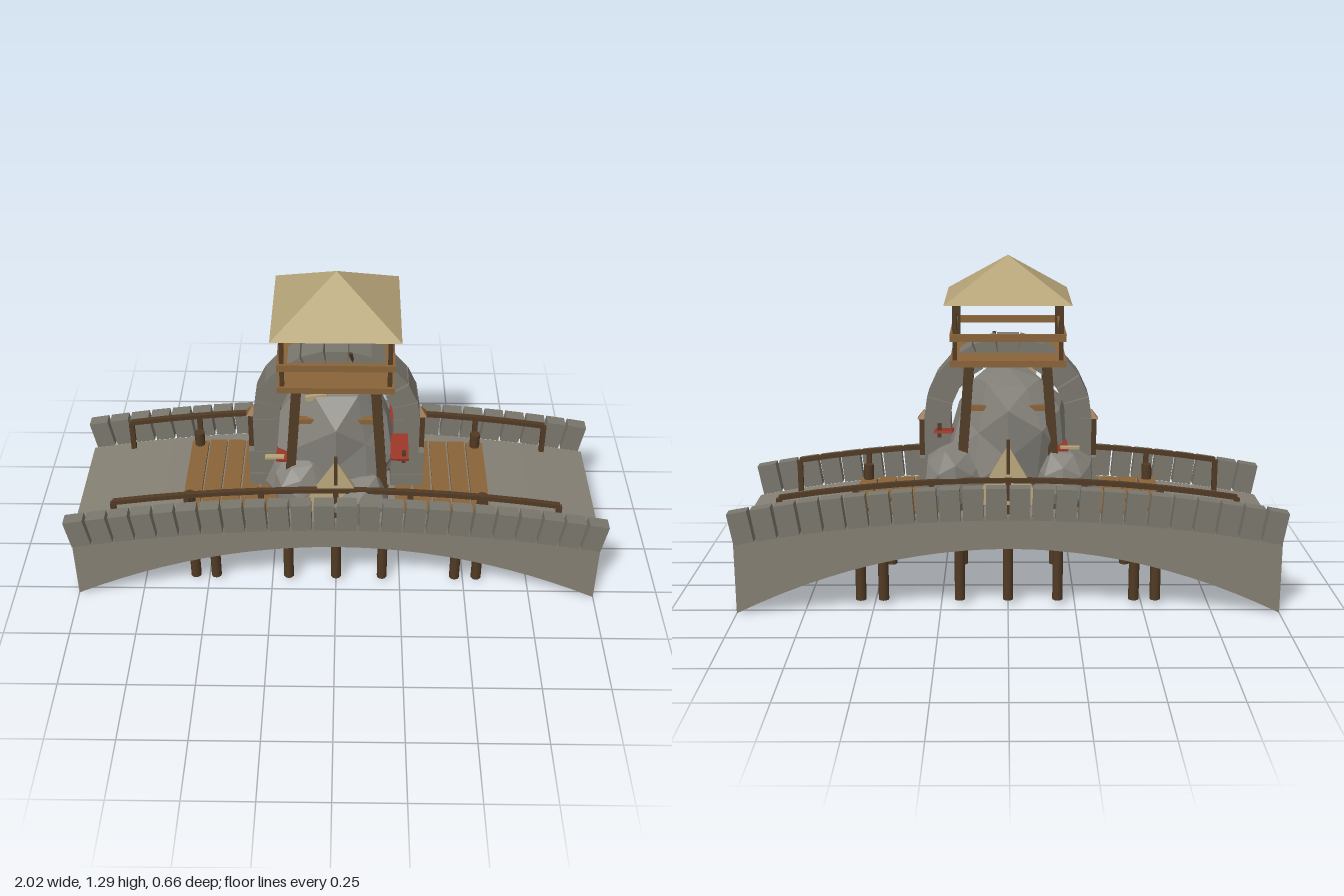
import * as THREE from 'three';

const mat = (name, color) => {
  const m = new THREE.MeshStandardMaterial({ color });
  m.name = name;
  return m;
};

export function createModel() {
  const root = new THREE.Group();
  root.name = 'bridgeWatchtower';
  const stone = mat('deckStone', 0x858074);
  const block = mat('blockStone', 0x7a776d);
  const rock = mat('boulderRock', 0x84817a);
  const wood = mat('plankWood', 0x8a6439);
  const dark = mat('darkWood', 0x513a24);
  const thatch = mat('thatch', 0xb5a377);
  const red = mat('redPaint', 0x9a3527);
  rock.flatShading = true;

  const add = (name, geo, m, x = 0, y = 0, z = 0, parent = root) => {
    const mesh = new THREE.Mesh(geo, m);
    mesh.name = name;
    mesh.position.set(x, y, z);
    parent.add(mesh);
    return mesh;
  };
  const box = (name, m, w, h, d, x, y, z) => add(name, new THREE.BoxGeometry(w, h, d), m, x, y, z);
  // Square beam running between two points
  const beam = (name, m, a, b, w, d = w) => {
    const p = new THREE.Vector3(...a), q = new THREE.Vector3(...b);
    const mid = p.clone().add(q).multiplyScalar(0.5);
    const mesh = box(name, m, w, p.distanceTo(q), d, mid.x, mid.y, mid.z);
    mesh.quaternion.setFromUnitVectors(new THREE.Vector3(0, 1, 0), q.sub(p).normalize());
    return mesh;
  };
  const pyramid = (name, m, w, h, x, y, z) => {
    const g = new THREE.ConeGeometry(w * Math.SQRT1_2, h, 4).toNonIndexed();
    g.rotateY(Math.PI / 4);
    g.computeVertexNormals();
    return add(name, g, m, x, y + h / 2, z);
  };

  // Arched deck
  const top = x => 0.28 + 0.095 * (1 - x * x);
  const under = x => 0.25 * (1 - x * x);
  const xs = Array.from({ length: 25 }, (_, i) => -1 + i / 12);
  const side = new THREE.Shape([
    ...xs.map(x => new THREE.Vector2(x, under(x))),
    ...xs.slice().reverse().map(x => new THREE.Vector2(x, top(x)))
  ]);
  add('deck', new THREE.ExtrudeGeometry(side, { depth: 0.56, bevelEnabled: false }), stone, 0, 0, -0.28);

  for (const s of [-1, 1]) {
    // Parapet blocks
    for (let i = 0; i < 24; i++) {
      const x = -0.9617 + i * 0.08362;
      const b = box('parapetBlock', block, 0.074, 0.118, 0.05, x, top(x) + 0.06, s * 0.305);
      b.rotation.z = Math.atan(-0.19 * x);
    }
    // Handrail
    const n = 12, rx = i => -0.83 + (1.66 * i) / n;
    for (let i = 0; i <= n; i++) {
      const x = rx(i), z = s * 0.247, y = top(x) + 0.127;
      if (i % 2 === 0) box('railPost', dark, 0.02, 0.13, 0.018, x, top(x) + 0.06, z);
      if (i < n) beam('handrail', dark, [x, y, z], [rx(i + 1), top(rx(i + 1)) + 0.127, z], 0.018);
    }
    // Stilts
    for (const x of [-0.55, -0.47, -0.185, 0, 0.18, 0.465, 0.55]) {
      const end = Math.abs(x) > 0.5 ? 0.435 : 0.3;
      add('stilt', new THREE.CylinderGeometry(0.02, 0.02, end - 0.02, 10), dark, x, (end + 0.02) / 2, s * 0.19);
    }
    // Walkway planks
    for (let i = 0; i < 5; i++)
      box('walkwayPlank', wood, 0.066, 0.016, i ? 0.435 : 0.42, s * (0.549 - i * 0.073), 0.368, 0);
    // Tent and its pole
    const tent = pyramid('tent', thatch, 0.25, 0.22, 0, 0.41, s * 0.235);
    tent.scale.z = 0.18;
    box('tentPole', dark, 0.012, 0.27, 0.012, 0, 0.515, s * 0.24);
  }

  // Stone arch: voussoirs and stepped legs
  const inner = 0.215, outer = 0.312, cy = 0.68, count = 11;
  for (let i = 0; i < count; i++) {
    const a = (i * Math.PI) / count + 0.01, b = ((i + 1) * Math.PI) / count - 0.01;
    const pt = (r, t) => new THREE.Vector2(r * Math.cos(t), r * Math.sin(t));
    const shape = new THREE.Shape([pt(inner, a), pt(outer, a), pt(outer, b), pt(inner, b)]);
    const d = i % 2 ? 0.124 : 0.116;
    add('archStone', new THREE.ExtrudeGeometry(shape, { depth: d, bevelEnabled: false }), block, 0, cy, -d / 2);
  }
  for (const s of [-1, 1]) {
    [0.375, 0.43, 0.48, 0.53].forEach((y, i) => {
      for (const z of i < 3 ? [-0.031, 0.031] : [0])
        box('legStone', block, i < 3 ? 0.125 : 0.098, i < 3 ? 0.052 : 0.155, i < 3 ? 0.06 : 0.12,
          s * (i < 3 ? 0.27 : 0.262), y + (i < 3 ? 0.027 : 0.075), z);
    });
    // Pointed wooden marker on each leg
    box('markerPost', dark, 0.035, 0.145, 0.05, s * 0.315, 0.6, 0);
    pyramid('markerTip', wood, 0.048, 0.035, s * 0.315, 0.672, 0);
  }

  // Boulders: faceted balls with seeded bumps
  const boulder = (x, y, z, rx, ry, rz, seed, detail = 1) => {
    const g = new THREE.IcosahedronGeometry(1, detail);
    const p = g.attributes.position, v = new THREE.Vector3();
    for (let i = 0; i < p.count; i++) {
      v.fromBufferAttribute(p, i);
      const h = Math.sin(Math.round(v.x * 50) * 1.27 + Math.round(v.y * 50) * 3.11 + Math.round(v.z * 50) * 7.47 + seed) * 437.5;
      v.multiplyScalar(0.86 + 0.24 * (h - Math.floor(h)));
      p.setXYZ(i, v.x * rx, v.y * ry, v.z * rz);
    }
    g.computeVertexNormals();
    add('boulder', g, rock, x, y, z);
  };
  boulder(0, 0.57, 0, 0.24, 0.315, 0.235, 1);
  boulder(-0.2, 0.46, -0.1, 0.13, 0.14, 0.13, 2);
  boulder(0.19, 0.47, -0.13, 0.12, 0.15, 0.13, 3);
  boulder(0.08, 0.42, 0.19, 0.13, 0.12, 0.13, 4, 0);
  boulder(-0.13, 0.45, 0.13, 0.13, 0.14, 0.11, 5);
  boulder(0.04, 0.32, 0, 0.16, 0.12, 0.15, 6);

  // Tower legs and braces
  for (const s of [-1, 1]) {
    for (const t of [-1, 1]) {
      beam('towerLeg', dark, [s * 0.18, 0.38, t * 0.16], [s * 0.14, 0.915, t * 0.138], 0.036);
      box('roofPost', dark, 0.016, 0.21, 0.016, s * 0.19, 1.033, t * 0.19);
    }
    box('crossBrace', wood, 0.3, 0.02, 0.02, 0, 0.747, s * 0.145);
    box('sideBrace', wood, 0.02, 0.02, 0.29, s * 0.153, 0.747, 0);
    // Lookout railing
    box('lookoutRail', wood, 0.416, 0.026, 0.018, 0, 1.015, s * 0.199);
    box('lookoutRail', wood, 0.018, 0.026, 0.38, s * 0.199, 1.015, 0);
  }
  box('lookoutFloor', wood, 0.416, 0.024, 0.416, 0, 0.921, 0);
  pyramid('roof', thatch, 0.455, 0.152, 0, 1.134, 0);

  // Red boards passing through the arch
  beam('redBoard', red, [0.235, 0.597, 0.185], [0.235, 0.668, -0.195], 0.066, 0.009);
  beam('redBoard', red, [-0.2, 0.6, 0.2], [-0.2, 0.6, -0.2], 0.04, 0.008);
  for (const s of [-1, 1]) {
    box('boardStop', thatch, 0.07, 0.01, 0.02, -0.225, 0.607, s * 0.185);
    box('boardPeg', dark, 0.014, 0.05, 0.014, 0.25, 0.632 - s * 0.035, s * 0.165);
  }
  // Loose sticks on the boulder
  beam('stick', dark, [-0.04, 0.91, 0.12], [-0.02, 0.83, 0.07], 0.01);
  beam('stick', dark, [0.05, 0.99, 0.07], [0.06, 0.94, 0.05], 0.01);
  beam('stick', dark, [0.06, 0.8, -0.08], [0.04, 0.72, -0.06], 0.01);
  beam('splint', thatch, [-0.11, 0.825, 0.12], [-0.03, 0.84, 0.12], 0.02, 0.012);
  return root;
}
